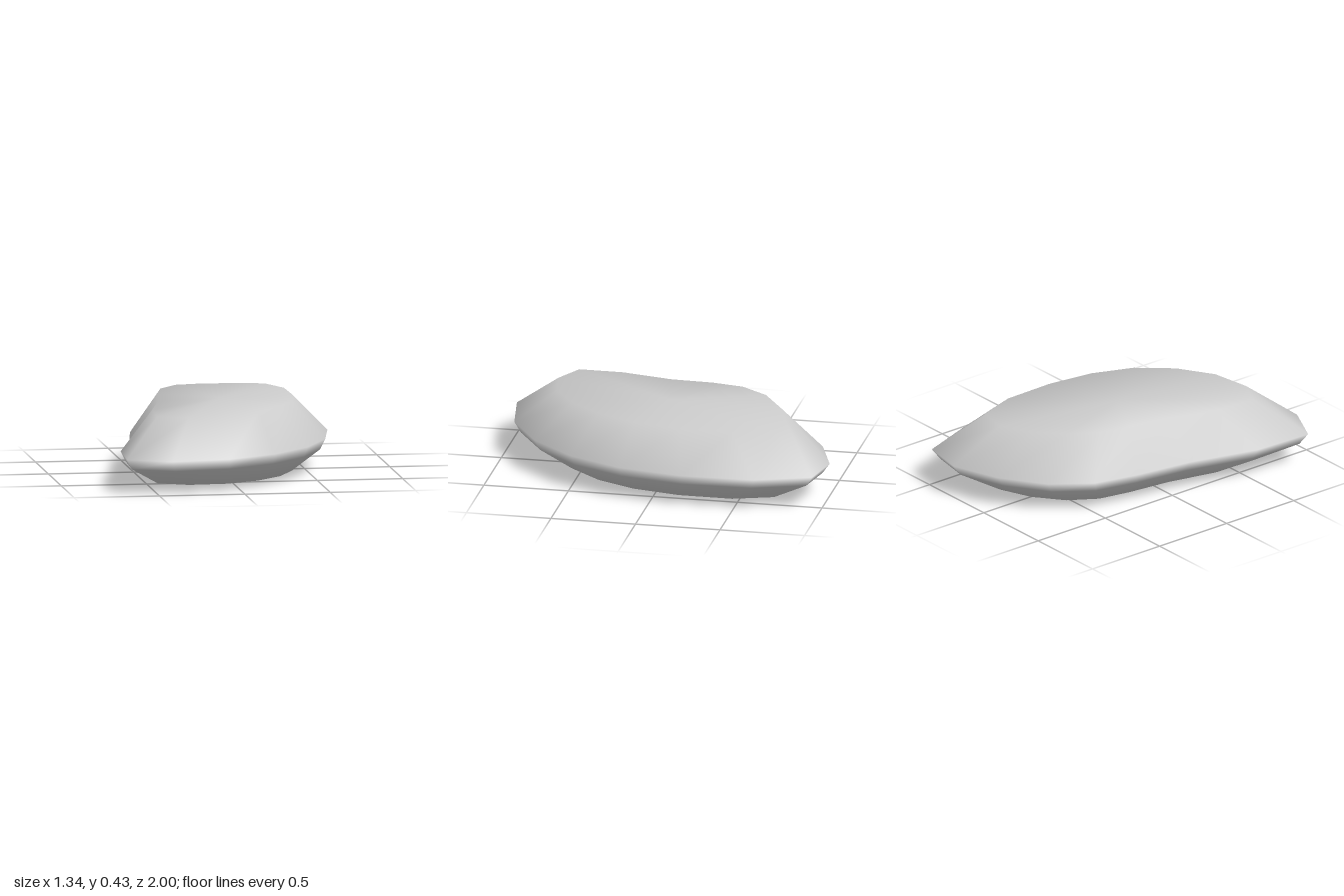
import * as THREE from 'three';

// widest outline of the pebble, [x, z], clockwise seen from above
const OUTLINE = [
  [0.28, -1], [0.54, -0.95], [0.655, -0.63], [0.665, -0.2],
  [0.595, 0.18], [0.445, 0.5], [0.215, 0.76], [-0.08, 0.94],
  [-0.42, 0.995], [-0.67, 0.875], [-0.655, 0.515], [-0.54, 0.1],
  [-0.485, -0.25], [-0.42, -0.51], [-0.26, -0.73], [-0.01, -0.9],
];
// slightly uneven height of the upper rim, per outline point
const TOP_RIM = [0.405, 0.405, 0.41, 0.41, 0.415, 0.42, 0.418, 0.415,
  0.412, 0.412, 0.415, 0.42, 0.43, 0.433, 0.43, 0.417];

// the lower rim tilts gently down towards the back left
const bottomRim = (x, z) => Math.max(0, 0.01 - 0.008 * x + 0.008 * z);

// cross-section rings from bottom to top: scale in x and z, and height
const RINGS = [
  { sx: 0.68, sz: 0.725, y: (i, x, z) => bottomRim(x, z) },
  { sx: 0.95, sz: 0.957, y: () => 0.135 },
  { sx: 1, sz: 1, y: () => 0.197 },
  { sx: 0.685, sz: 0.725, y: (i) => TOP_RIM[i] },
];

function stoneGeometry() {
  const n = OUTLINE.length;
  const position = [];
  const index = [];
  for (const ring of RINGS) {
    OUTLINE.forEach(([x, z], i) => position.push(x * ring.sx, ring.y(i, x, z), z * ring.sz));
  }
  const bottom = position.length / 3;
  position.push(0, 0.005, 0, 0, 0.424, 0);
  const top = bottom + 1;
  const last = (RINGS.length - 1) * n;

  for (let i = 0; i < n; i++) {
    const j = (i + 1) % n;
    // sloping sides
    for (let r = 0; r < last; r += n) {
      index.push(r + i, r + n + i, r + j, r + j, r + n + i, r + n + j);
    }
    // flat underside and upper face
    index.push(bottom, i, j, top, last + j, last + i);
  }
  const geometry = new THREE.BufferGeometry();
  geometry.setAttribute('position', new THREE.Float32BufferAttribute(position, 3));
  geometry.setIndex(index);
  geometry.computeVertexNormals();
  return geometry;
}

export function createModel() {
  const group = new THREE.Group();
  group.name = 'flatStone';
  const stone = new THREE.Mesh(stoneGeometry(), new THREE.MeshStandardMaterial({ color: 0xcccccc }));
  stone.name = 'stone';
  group.add(stone);
  return group;
}
